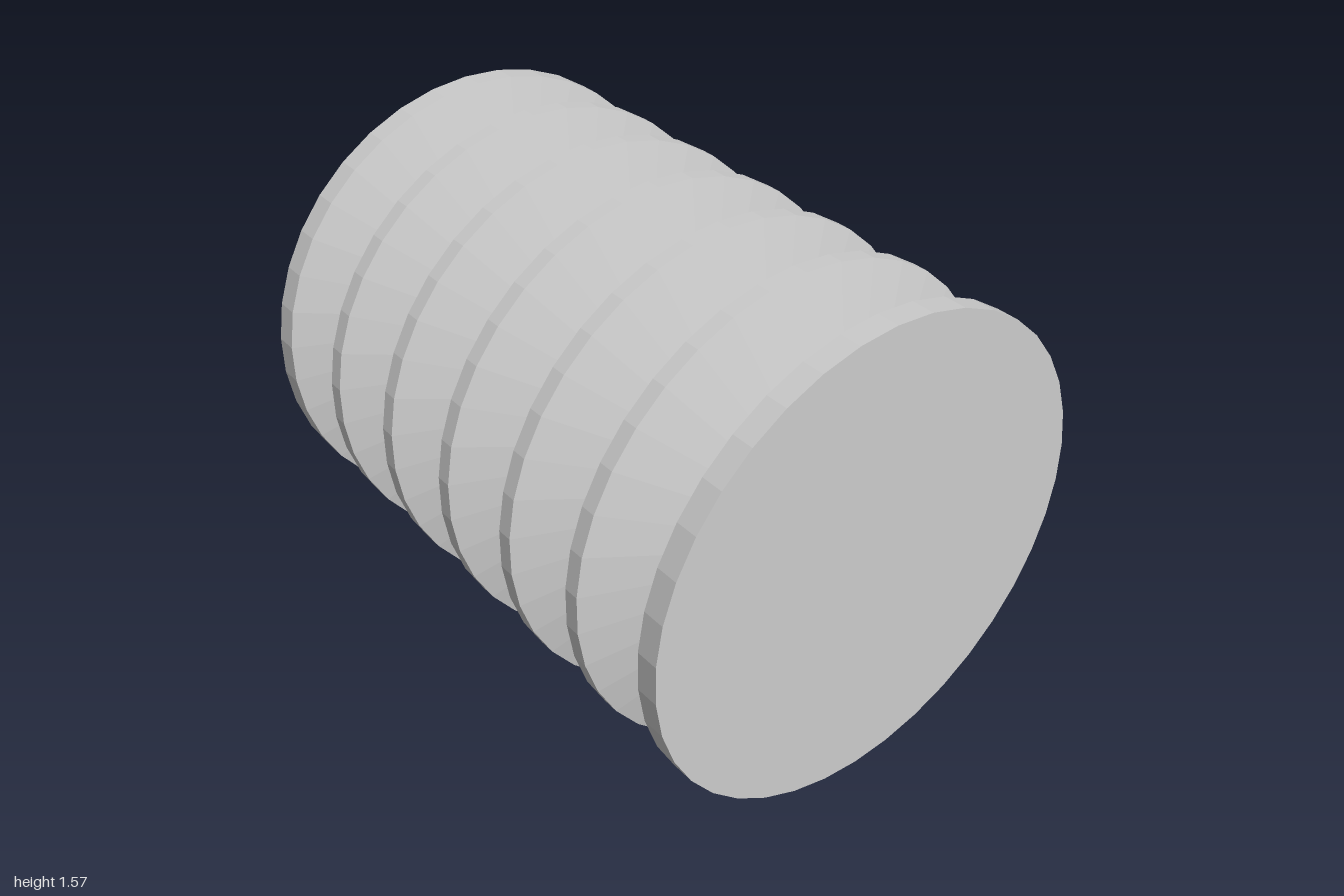
import * as THREE from 'three';

const SIDES = 38;
const RADIUS = 0.785;       // crest radius
const FLOOR_RADIUS = 0.535; // groove bottom radius
const PITCH = 0.317;
const GROOVES = 6;

export function createModel() {
  const group = new THREE.Group();
  group.name = 'groovedPulley';

  // Half profile along the axle, with closed end faces
  const profile = [[0, -1], [RADIUS, -1]];
  for (let i = 0; i < GROOVES; i++) {
    const c = (i - (GROOVES - 1) / 2) * PITCH;
    profile.push(
      [RADIUS, c - 0.133],
      [FLOOR_RADIUS, c - 0.055],
      [FLOOR_RADIUS, c + 0.055],
      [RADIUS, c + 0.133]
    );
  }
  profile.push([RADIUS, 1], [0, 1]);

  // Turned drum, laid along x with a vertex line at the very top
  const geometry = new THREE.LatheGeometry(
    profile.map(([r, h]) => new THREE.Vector2(r, h)), SIDES, Math.PI / 2
  );
  geometry.rotateZ(-Math.PI / 2);
  geometry.translate(0, RADIUS, 0);

  const drum = new THREE.Mesh(
    geometry,
    new THREE.MeshStandardMaterial({ color: 0xcccccc, flatShading: true })
  );
  drum.name = 'groovedDrum';
  group.add(drum);
  return group;
}
